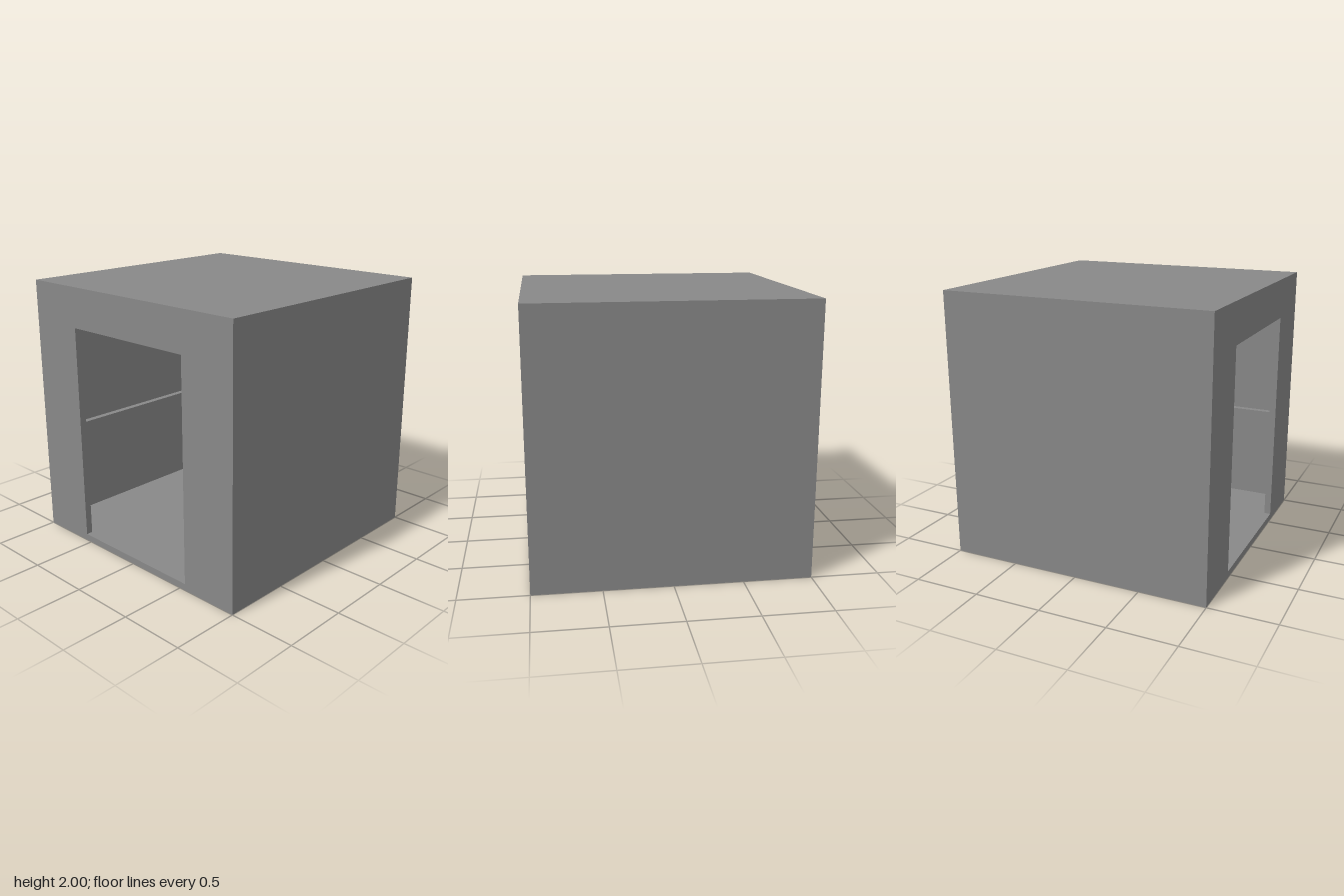
import * as THREE from 'three';

const T = 0.05; // wall thickness

export function createModel() {
  const model = new THREE.Group();
  model.name = 'cubeRoom';
  const grey = new THREE.MeshStandardMaterial({ color: 0x888888 });
  grey.name = 'grey';

  const add = (name, geometry, x, y, z) => {
    const mesh = new THREE.Mesh(geometry, grey);
    mesh.name = name;
    mesh.position.set(x, y, z);
    model.add(mesh);
  };
  const box = (name, w, h, d, x, y, z) => add(name, new THREE.BoxGeometry(w, h, d), x, y, z);

  // Wall with the doorway, drawn flat and turned to face -x
  const wall = new THREE.Shape([[-1, 0], [1, 0], [1, 2], [-1, 2]].map(p => new THREE.Vector2(...p)));
  wall.holes.push(new THREE.Path([[-0.55, T], [-0.55, 1.7], [0.55, 1.7], [0.55, T]].map(p => new THREE.Vector2(...p))));
  const doorWall = new THREE.ExtrudeGeometry(wall, { depth: T, bevelEnabled: false });
  doorWall.rotateY(-Math.PI / 2);
  add('doorWall', doorWall, -1 + T, 0, 0);

  // Floor and roof run up to the door wall
  box('floor', 2 - T, T, 2, T / 2, T / 2, 0);
  box('roof', 2 - T, T, 2, T / 2, 2 - T / 2, 0);

  // Wall opposite the doorway
  box('endWall', T, 2 - 2 * T, 2, 1 - T / 2, 1, 0);

  // Front and back walls, each with a rail along its inside
  for (const [side, s] of [['front', 1], ['back', -1]]) {
    box(side + 'Wall', 2 - 2 * T, 2 - 2 * T, T, 0, 1, s * (1 - T / 2));
    box(side + 'Rail', 2 - 2 * T, 0.1, T, 0, 0.77, s * (1 - T * 1.5));
  }
  return model;
}
